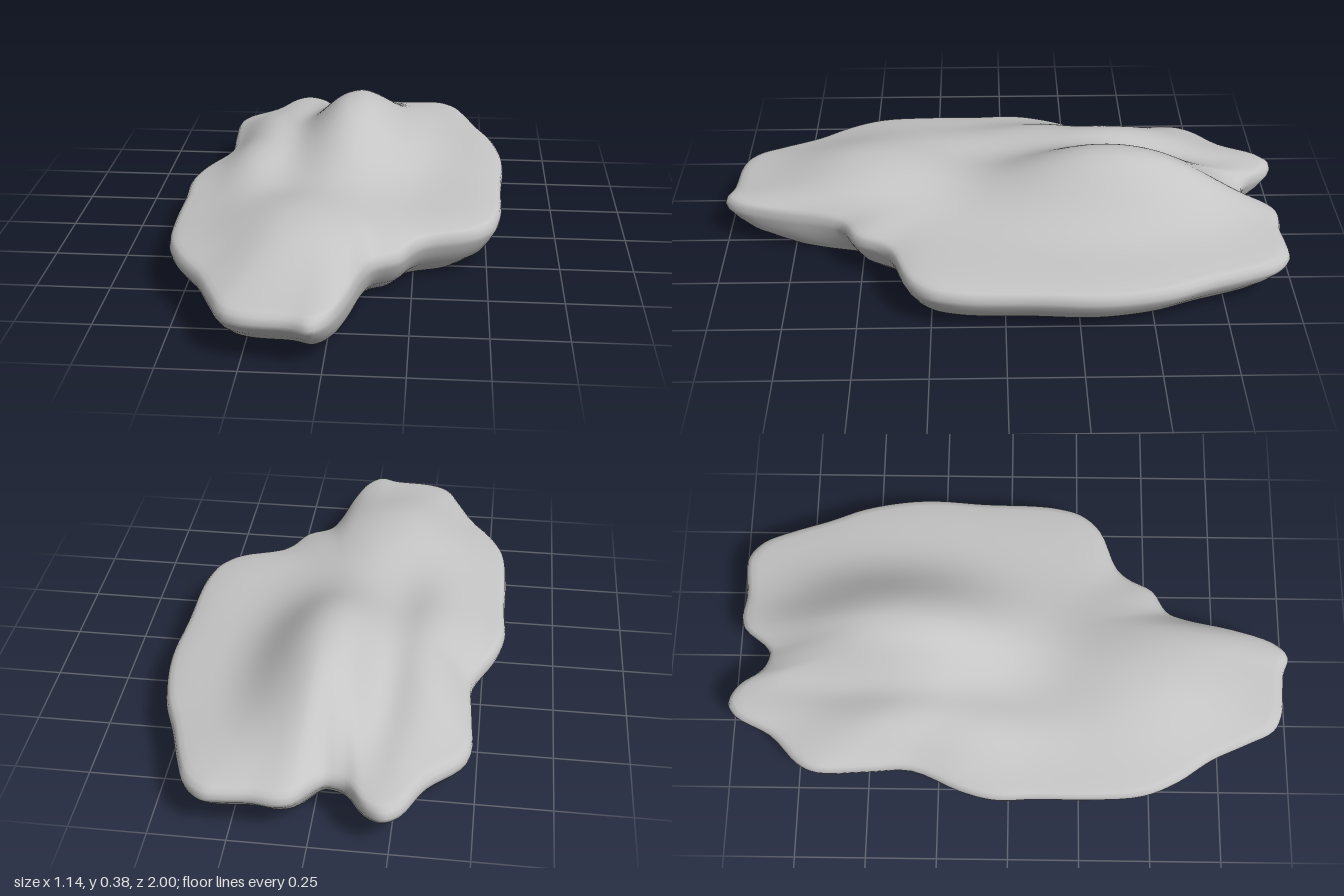
import * as THREE from 'three';
import { mergeVertices } from 'three/addons/utils/BufferGeometryUtils.js';

// Widest outline of the slab as x, z pairs, clockwise from the back
const OUTLINE = [
  -0.23, -1, -0.17, -0.97, -0.11, -0.89, -0.07, -0.87, -0.03, -0.87, 0.05, -0.96, 0.1, -0.975,
  0.18, -0.965, 0.27, -0.972, 0.33, -0.97, 0.39, -0.92, 0.43, -0.83, 0.48, -0.68, 0.53, -0.55,
  0.56, -0.4, 0.567, -0.28, 0.555, -0.1, 0.55, 0.1, 0.54, 0.18, 0.515, 0.26, 0.45, 0.33,
  0.3, 0.39, 0.26, 0.43, 0.21, 0.52, 0.13, 0.57, 0.1, 0.64, 0.06, 0.82, 0.015, 0.95, -0.035, 1,
  -0.1, 0.98, -0.24, 0.968, -0.31, 0.935, -0.36, 0.84, -0.42, 0.71, -0.5, 0.59, -0.55, 0.47,
  -0.565, 0.3, -0.565, 0.1, -0.57, -0.05, -0.54, -0.17, -0.47, -0.34, -0.475, -0.5,
  -0.48, -0.67, -0.45, -0.74, -0.35, -0.84, -0.28, -0.97,
];

// Side profile from the base up to the rim: outline scale, height
const SIDE = [[0.79, 0], [0.85, 0.024], [0.92, 0.055], [0.965, 0.092], [0.995, 0.125], [1, 0.142], [0.993, 0.162], [0.975, 0.174]];

// Rises and dips of the top: x, z, height, x radius, z radius
const BUMPS = [
  [0, -0.4, 0.187, 0.215, 0.42],
  [-0.34, -0.28, 0.068, 0.125, 0.42],
  [-0.16, -0.6, -0.045, 0.1, 0.3],
  [-0.13, 0.47, 0.08, 0.24, 0.31],
];

function topHeight(x, z, s) {
  let h = 0.021;
  for (const [bx, bz, a, rx, rz] of BUMPS) {
    h += a * Math.exp(-((((x - bx) / rx) ** 2 + ((z - bz) / rz) ** 2) ** 1.15));
  }
  const t = s / 0.975;
  return 0.174 + h * (1 - t ** 7);
}

export function createModel() {
  const group = new THREE.Group();
  group.name = 'rock';
  const stone = new THREE.MeshStandardMaterial({ color: 0xc5c5c5 });
  stone.name = 'grey stone';

  const points = [];
  for (let i = 0; i < OUTLINE.length; i += 2) points.push(new THREE.Vector3(OUTLINE[i], 0, OUTLINE[i + 1]));
  const N = 184;
  const edge = new THREE.CatmullRomCurve3(points, true).getPoints(N).slice(0, N);

  // Rings climb the side, then close in over the top
  const rings = SIDE.map(([s, y]) => ({ s, y }));
  const inner = 36;
  for (let i = 1; i <= inner; i++) rings.push({ s: 0.975 * (1 - i / inner) });

  const pos = [];
  const index = [];
  rings.forEach(({ s, y }, i) => {
    edge.forEach((p, j) => {
      const x = p.x * s, z = p.z * s;
      pos.push(x, y ?? topHeight(x, z, s), z);
      if (i === rings.length - 1) return;
      const a = i * N + j, b = i * N + ((j + 1) % N);
      index.push(a, a + N, b);
      if (i < rings.length - 2) index.push(b, a + N, b + N);
    });
  });
  let body = new THREE.BufferGeometry();
  body.setAttribute('position', new THREE.Float32BufferAttribute(pos, 3));
  body.setIndex(index);
  body = mergeVertices(body, 1e-5);
  body.computeVertexNormals();
  const bodyMesh = new THREE.Mesh(body, stone);
  bodyMesh.name = 'rockBody';
  group.add(bodyMesh);

  // Flat underside
  const shape = new THREE.Shape(edge.map((p) => new THREE.Vector2(p.x * SIDE[0][0], p.z * SIDE[0][0])));
  const base = new THREE.Mesh(new THREE.ShapeGeometry(shape).rotateX(Math.PI / 2), stone);
  base.name = 'rockBase';
  group.add(base);

  return group;
}
